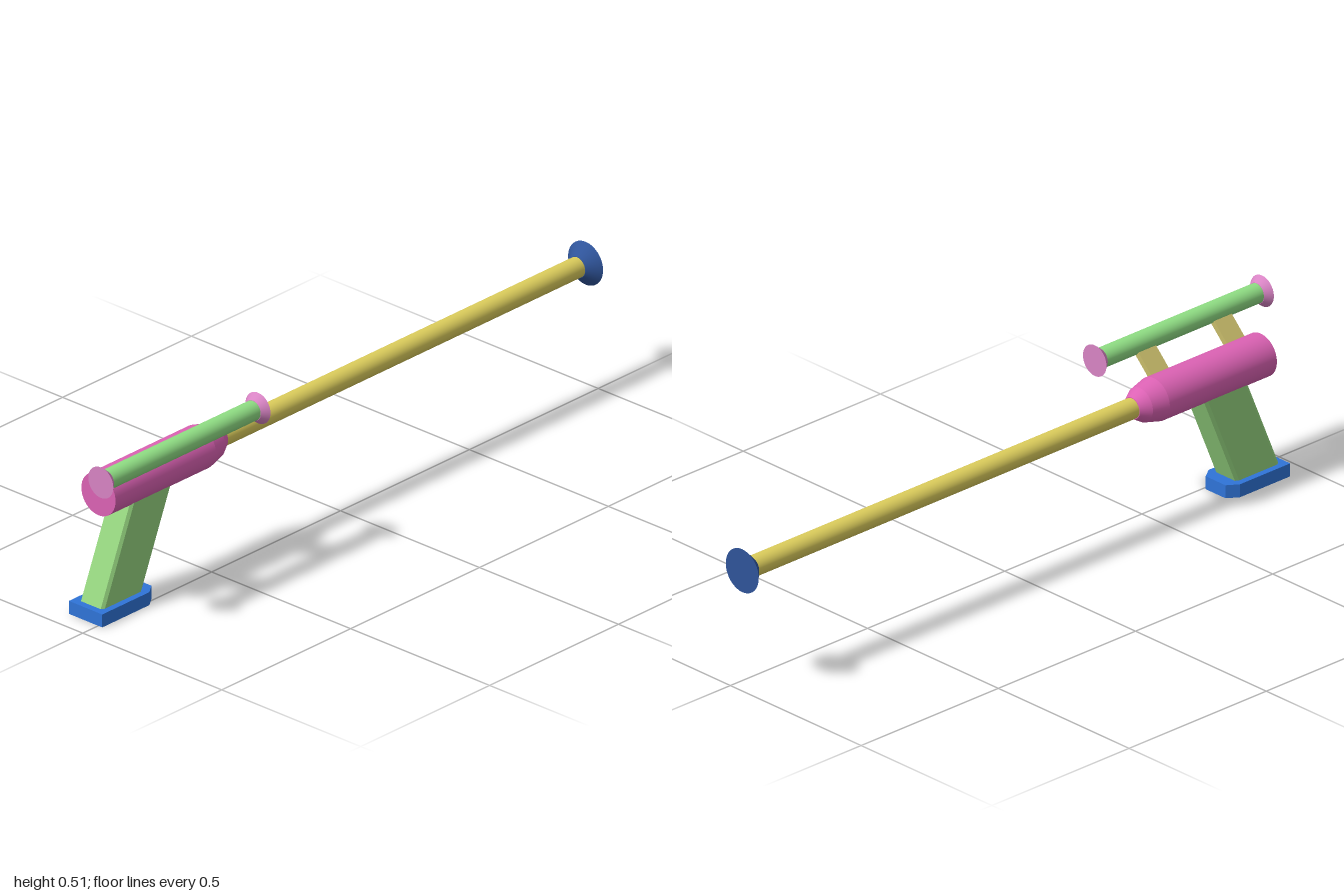
import * as THREE from 'three';

const mat = (name, color) => {
  const m = new THREE.MeshStandardMaterial({ color });
  m.name = name;
  return m;
};

export function createModel() {
  const group = new THREE.Group();
  const pink = mat('bodyPink', 0xdc62b4);
  const palePink = mat('lensPink', 0xd884c4);
  const yellow = mat('barrelYellow', 0xdccd5c);
  const khaki = mat('mountYellow', 0xc8bc6a);
  const green = mat('gripGreen', 0x96d680);
  const lightGreen = mat('scopeGreen', 0x90de84);
  const blue = mat('baseBlue', 0x2f74d8);
  const navy = mat('muzzleBlue', 0x2f549a);

  const axis = { y: 0.353, z: -0.0455 };      // body and barrel
  const scopeAxis = { y: 0.464, z: 0.065 };   // sight tube

  const add = (name, geometry, material) => {
    const mesh = new THREE.Mesh(geometry, material);
    mesh.name = name;
    group.add(mesh);
    return mesh;
  };

  // Round section lying along x, from x0 (radius r0) to x1 (radius r1)
  const tube = (name, material, at, x0, x1, r0, r1) => {
    const g = new THREE.CylinderGeometry(r1, r0, x1 - x0, 40);
    g.rotateZ(-Math.PI / 2);
    g.translate((x0 + x1) / 2, at.y, at.z);
    return add(name, g, material);
  };

  // Upright prism with cut corners, optionally leaning along x
  const prism = (name, material, points, y0, y1, lean = 0) => {
    const shape = new THREE.Shape(points.map(([x, z]) => new THREE.Vector2(x, z)));
    const g = new THREE.ExtrudeGeometry(shape, { depth: y1 - y0, bevelEnabled: false });
    g.rotateX(-Math.PI / 2);
    const p = g.attributes.position;
    for (let i = 0; i < p.count; i++) p.setX(i, p.getX(i) + lean * p.getY(i));
    g.translate(0, y0, axis.z);
    g.computeVertexNormals();
    return add(name, g, material);
  };

  // Body with rounded nose
  tube('body', pink, axis, -0.89, -0.5, 0.0615, 0.0615);
  tube('bodyShoulder', pink, axis, -0.5, -0.45, 0.0615, 0.049);
  tube('bodyNose', pink, axis, -0.45, -0.42, 0.049, 0.031);

  // Barrel and flared muzzle
  tube('barrel', yellow, axis, -0.43, 0.975, 0.029, 0.029);
  tube('muzzle', navy, axis, 0.967, 1, 0.03, 0.063);

  // Sight tube with flared ends
  tube('scope', lightGreen, scopeAxis, -0.985, -0.405, 0.028, 0.028);
  tube('scopeRearLens', palePink, scopeAxis, -1, -0.98, 0.045, 0.029);
  tube('scopeFrontLens', palePink, scopeAxis, -0.41, -0.39, 0.029, 0.045);

  // Slanted mounts joining body and sight
  for (const [name, x] of [['rearMount', -0.834], ['frontMount', -0.558]]) {
    const mount = add(name, new THREE.BoxGeometry(0.064, 0.15, 0.016), khaki);
    mount.position.set(x, (axis.y + scopeAxis.y) / 2, (axis.z + scopeAxis.z) / 2);
    mount.rotation.x = Math.PI / 4;
  }

  // Leaning grip with small cut corners
  const w = 0.0415, cz = 0.006, cx = 0.01;
  prism('grip', green, [
    [-0.923 + cx, -w], [-0.765 - cx, -w], [-0.765, -w + cz], [-0.765, w - cz],
    [-0.765 - cx, w], [-0.923 + cx, w], [-0.923, w - cz], [-0.923, -w + cz],
  ], 0.03, 0.33, 0.42);

  // Base plate with cut front corners
  prism('gripBase', blue, [
    [-0.94, -0.06], [-0.757, -0.06], [-0.725, -0.038],
    [-0.725, 0.038], [-0.757, 0.06], [-0.94, 0.06],
  ], 0, 0.038);

  return group;
}
